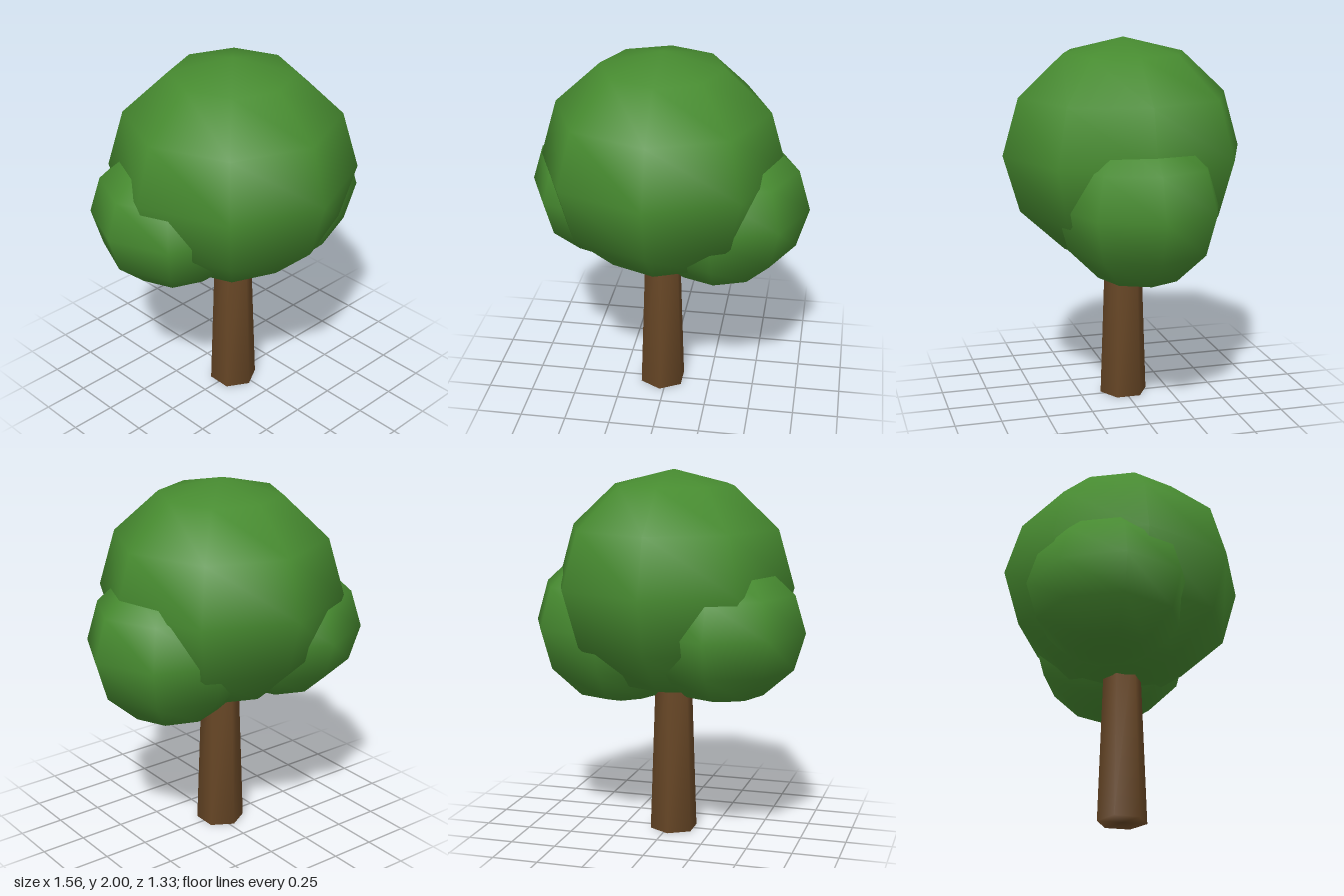
import * as THREE from 'three';
import { mergeVertices } from 'three/addons/utils/BufferGeometryUtils.js';

export function createModel() {
  const tree = new THREE.Group();
  tree.name = 'tree';

  const leafGreen = new THREE.MeshStandardMaterial({ color: 0x478b30 });
  leafGreen.name = 'leaf green';
  const barkBrown = new THREE.MeshStandardMaterial({ color: 0x684726 });
  barkBrown.name = 'bark brown';

  // Low-poly ellipsoid of leaves with smooth normals
  function addFoliage(name, center, radii) {
    const geometry = new THREE.SphereGeometry(1, 8, 6).scale(...radii);
    const mesh = new THREE.Mesh(geometry, leafGreen);
    mesh.name = name;
    mesh.position.set(...center);
    tree.add(mesh);
  }

  addFoliage('mainCrown', [-0.025, 1.385, 0], [0.665, 0.615, 0.665]);
  addFoliage('leftFoliage', [0.285, 1.15, 0], [0.49, 0.445, 0.445]);
  addFoliage('rightFoliage', [-0.335, 1.167, -0.135], [0.445, 0.397, 0.445]);

  // Six-sided tapered trunk, reaching up into the crown; normals shared with its caps
  const height = 1;
  let trunkGeometry = new THREE.CylinderGeometry(0.098, 0.133, height, 6);
  trunkGeometry.deleteAttribute('normal');
  trunkGeometry.deleteAttribute('uv');
  trunkGeometry = mergeVertices(trunkGeometry, 1e-4);
  trunkGeometry.computeVertexNormals();
  const trunk = new THREE.Mesh(trunkGeometry, barkBrown);
  trunk.name = 'trunk';
  trunk.position.set(-0.025, height / 2, 0);
  tree.add(trunk);

  return tree;
}
